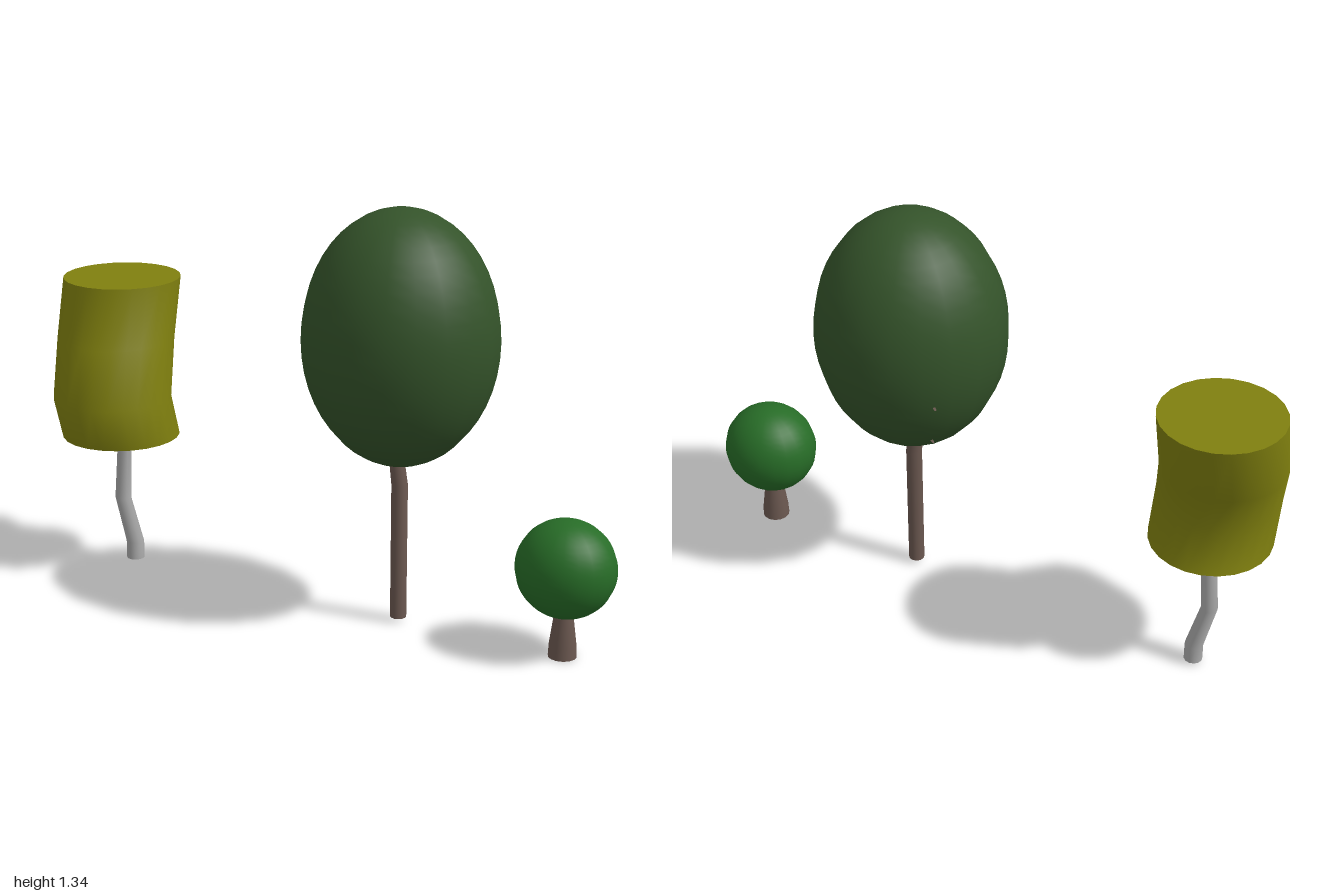
import * as THREE from 'three';
import { toCreasedNormals } from 'three/addons/utils/BufferGeometryUtils.js';

const paint = (color) => new THREE.MeshStandardMaterial({ color });
const olive = paint(0x80800f);
const darkGreen = paint(0x34532a);
const green = paint(0x276c27);
const brown = paint(0x6b5850);
const grey = paint(0xaaaaaa);

// Closed tube through horizontal rings [x, y, z, radius], listed bottom to top
function ringTube(rings, sides) {
  const steps = rings.length - 1;
  const geometry = new THREE.CylinderGeometry(1, 1, 1, sides, steps);
  const p = geometry.attributes.position;
  for (let i = 0; i < p.count; i++) {
    const [x, y, z, r] = rings[Math.round((p.getY(i) + 0.5) * steps)];
    p.setXYZ(i, x + p.getX(i) * r, y, z + p.getZ(i) * r);
  }
  return toCreasedNormals(geometry, 0.9);
}

function add(parent, name, geometry, material) {
  const mesh = new THREE.Mesh(geometry, material);
  mesh.name = name;
  parent.add(mesh);
  return mesh;
}

function ellipsoid(center, radii) {
  return new THREE.SphereGeometry(1, 20, 24).scale(...radii).translate(...center);
}

function tree(parent, name) {
  const group = new THREE.Group();
  group.name = name;
  parent.add(group);
  return group;
}

export function createModel() {
  const model = new THREE.Group();
  model.name = 'trees';

  // Crooked tree with a blocky, leaning crown
  const crooked = tree(model, 'crookedTree');
  add(crooked, 'crookedTrunk', ringTube([
    [-0.757, 0.01, -0.02, 0.03],
    [-0.757, 0.07, -0.02, 0.03],
    [-0.795, 0.225, -0.01, 0.027],
    [-0.775, 0.48, -0.005, 0.023],
  ], 12), grey);
  add(crooked, 'crookedCrown', ringTube([
    [-0.765, 0.47, 0.03, 0.195],
    [-0.765, 0.615, 0.075, 0.195],
    [-0.805, 0.79, -0.01, 0.195],
    [-0.805, 0.99, -0.055, 0.195],
  ], 24), olive);

  // Tall tree with an egg-shaped crown
  const tall = tree(model, 'tallTree');
  add(tall, 'tallTrunk', ringTube([
    [0.275, 0.015, 0, 0.026],
    [0.275, 0.46, 0, 0.026],
    [0.264, 0.54, 0, 0.024],
    [0.264, 0.75, 0, 0.018],
  ], 12), brown);
  add(tall, 'tallCrown', ellipsoid([0.273, 0.935, 0], [0.31, 0.405, 0.304]), darkGreen);

  // Twigs whose tips just pierce the crown
  const tips = [[0.06, 0.825, -0.225], [0.108, 0.648, -0.16]];
  tips.forEach(([x, y, z], i) => {
    add(tall, 'twig' + (i + 1), ringTube([
      [0.264, y - 0.06, 0, 0.012],
      [x, y, z, 0.004],
    ], 6), brown);
  });

  // Small round tree with a flared trunk
  const small = tree(model, 'smallTree');
  add(small, 'smallTrunk', ringTube([
    [0.84, 0, -0.008, 0.045],
    [0.84, 0.04, -0.008, 0.043],
    [0.84, 0.13, -0.008, 0.031],
    [0.84, 0.2, -0.008, 0.026],
  ], 14), brown);
  add(small, 'smallCrown', ellipsoid([0.841, 0.287, -0.01], [0.158, 0.155, 0.147]), green);

  return model;
}
